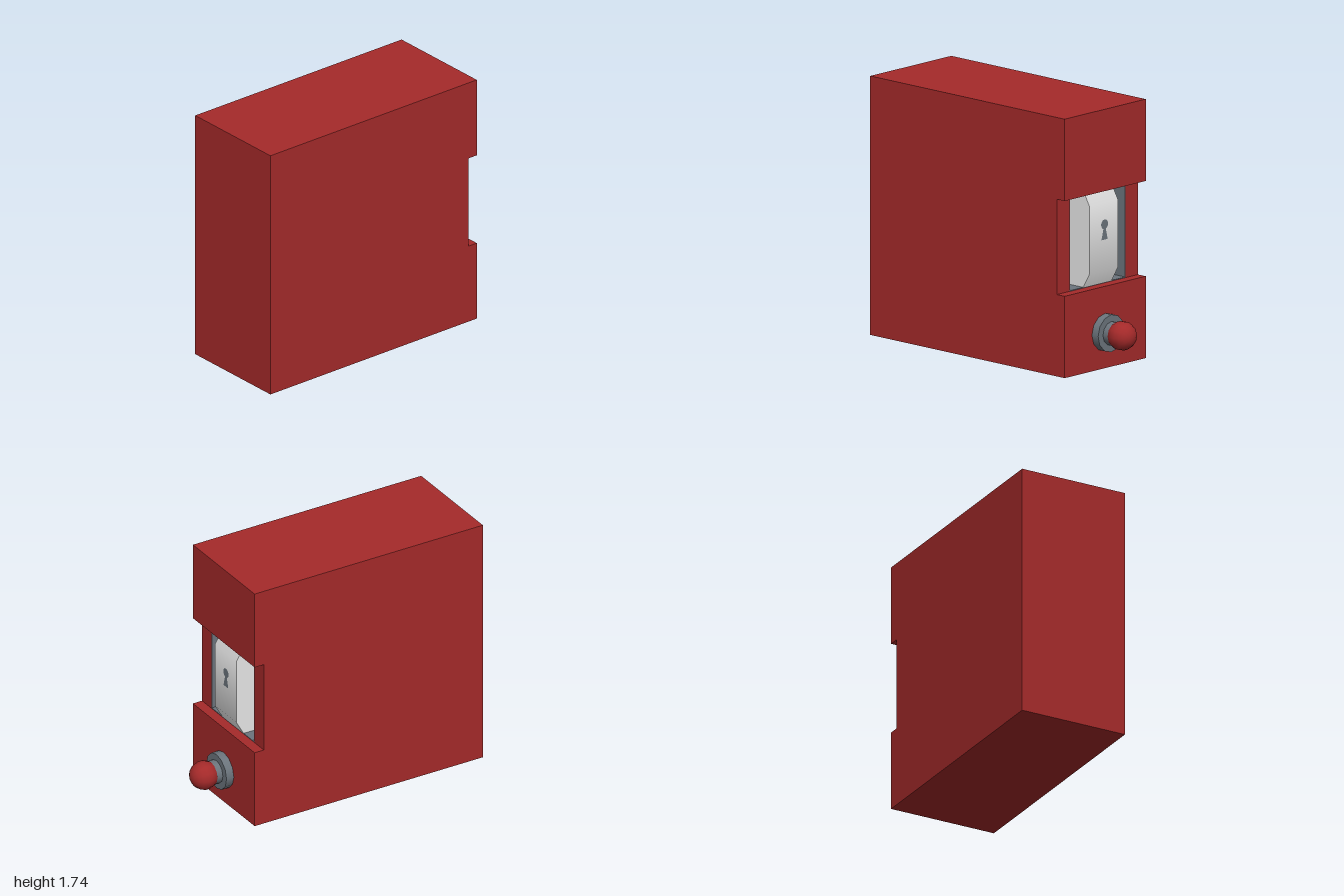
import * as THREE from 'three';

export function createModel() {
  const model = new THREE.Group();
  const material = (name, color) => {
    const m = new THREE.MeshStandardMaterial({ color });
    m.name = name;
    return m;
  };
  const red = material('red', 0xa52a2a);
  const grey = material('steel grey', 0x6c757d);
  const white = material('white', 0xf8f8f8);

  const add = (name, geometry, mat, x = 0, y = 0, z = 0, parent = model) => {
    const mesh = new THREE.Mesh(geometry, mat);
    mesh.name = name;
    mesh.position.set(x, y, z);
    parent.add(mesh);
    return mesh;
  };

  const left = -1, right = 0.75, height = 1.74, halfDepth = 0.385;
  const low = 0.55, high = 1.19, recess = 0.68;
  const pocketHalf = 0.267, pocketFloor = 0.4;

  // Housing: notched slabs, the middle one cut deeper to form the pocket
  const slab = (name, notchX, z0, z1) => {
    const shape = new THREE.Shape([
      [left, 0], [right, 0], [right, low], [notchX, low],
      [notchX, high], [right, high], [right, height], [left, height],
    ].map(([x, y]) => new THREE.Vector2(x, y)));
    const geo = new THREE.ExtrudeGeometry(shape, { depth: z1 - z0, bevelEnabled: false });
    add(name, geo, red, 0, 0, z0);
  };
  slab('frontHousing', recess, pocketHalf, halfDepth);
  slab('middleHousing', pocketFloor, -pocketHalf, pocketHalf);
  slab('backHousing', recess, -halfDepth, -pocketHalf);

  // Grey lining inside the pocket
  const t = 0.005, midY = (low + high) / 2;
  const linerDepth = recess - pocketFloor, linerX = (recess + pocketFloor) / 2;
  add('pocketFloor', new THREE.BoxGeometry(t, high - low, pocketHalf * 2), grey, pocketFloor + t / 2, midY);
  for (const s of [1, -1]) {
    add('pocketSide', new THREE.BoxGeometry(linerDepth, high - low, t), grey,
      linerX, midY, s * (pocketHalf - t / 2));
    add('pocketEnd', new THREE.BoxGeometry(linerDepth, t, pocketHalf * 2), grey,
      linerX, midY + s * ((high - low) / 2 - t / 2));
  }

  // Twelve-sided drum showing through the pocket, one facet facing out
  const drumGeo = new THREE.CylinderGeometry(0.886, 0.886, 0.27, 12);
  drumGeo.rotateY(Math.PI / 12).rotateX(Math.PI / 2);
  add('drum', drumGeo, white, -0.12, 0.88, 0);

  // Keyhole painted on the drum
  const keyhole = new THREE.Group();
  keyhole.name = 'keyhole';
  keyhole.position.set(0.738, 0, -0.007);
  keyhole.rotation.y = Math.PI / 2;
  model.add(keyhole);
  add('keyholeCircle', new THREE.CircleGeometry(0.033, 16), grey, 0, 0.963, 0, keyhole);
  const slot = new THREE.Shape([[-0.03, 0.86], [0.03, 0.86], [0.009, 0.94], [-0.009, 0.94]]
    .map(([x, y]) => new THREE.Vector2(x, y)));
  add('keyholeSlot', new THREE.ShapeGeometry(slot), grey, 0, 0, 0, keyhole);

  // Knob: flange, neck and ball along +x
  const knob = new THREE.Group();
  knob.name = 'knob';
  knob.position.set(right, 0.243, 0);
  knob.rotation.z = -Math.PI / 2;
  model.add(knob);
  add('flange', new THREE.CylinderGeometry(0.126, 0.126, 0.056, 12), grey, 0, 0.028, 0, knob);
  add('neck', new THREE.CylinderGeometry(0.08, 0.08, 0.1, 12), grey, 0, 0.1, 0, knob);
  add('ball', new THREE.SphereGeometry(0.098, 12, 9), red, 0, 0.152, 0, knob);

  return model;
}
